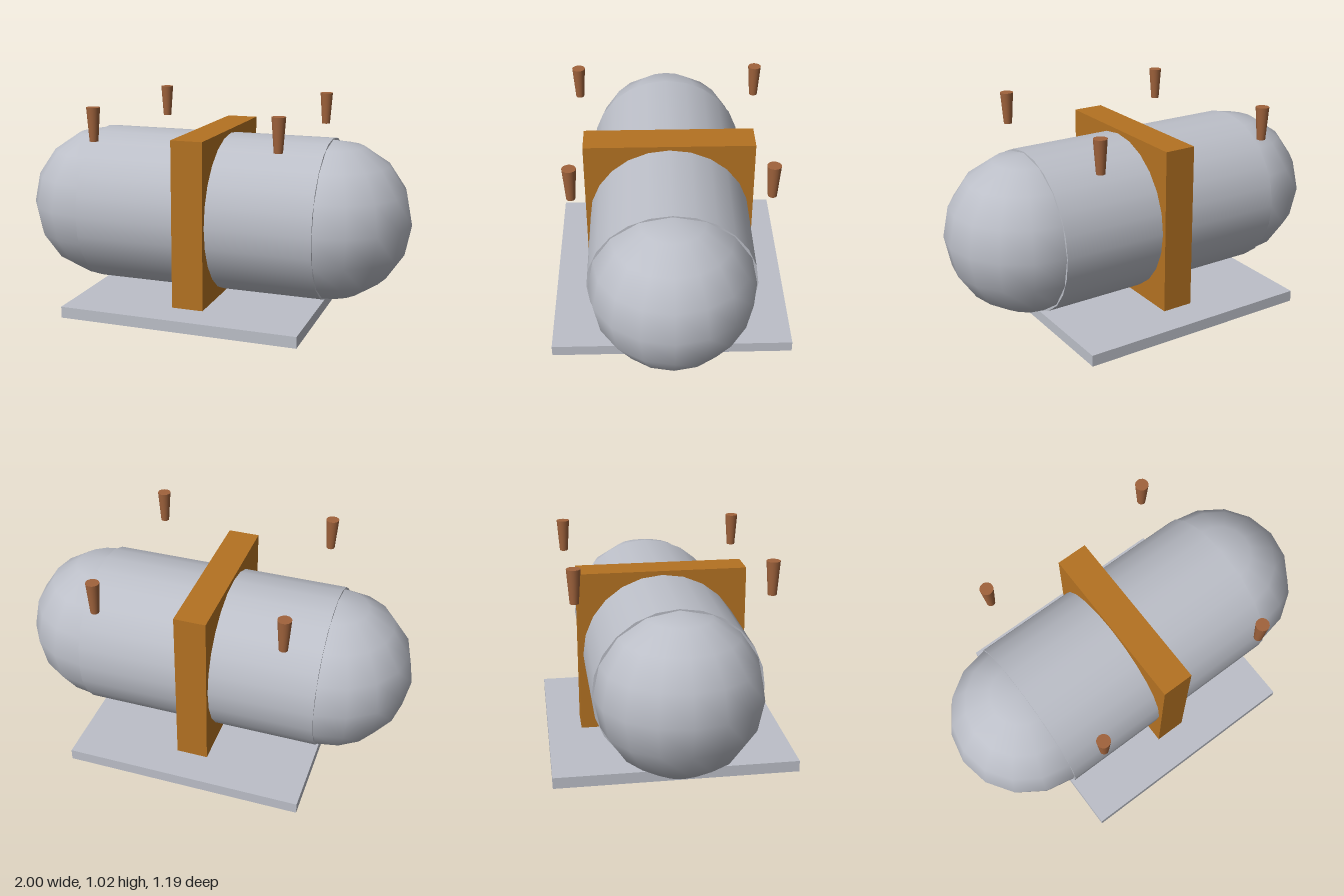
import * as THREE from 'three';

export function createModel() {
  const model = new THREE.Group();
  model.name = 'strappedTank';

  const steel = new THREE.MeshStandardMaterial({ color: 0xbcbfc8 });
  steel.name = 'pale steel';
  const ochre = new THREE.MeshStandardMaterial({ color: 0xb47222 });
  ochre.name = 'ochre strap';
  const copper = new THREE.MeshStandardMaterial({ color: 0xa0633c });
  copper.name = 'copper brown';

  function add(name, geometry, material, x, y, z) {
    const mesh = new THREE.Mesh(geometry, material);
    mesh.name = name;
    mesh.position.set(x, y, z);
    model.add(mesh);
    return mesh;
  }

  const axisY = 0.46;

  // Base plate
  add('basePlate', new THREE.BoxGeometry(1.187, 0.056, 1.187), steel, 0, 0.028, 0);

  // Tank barrel lying along x
  const barrel = add('tankBarrel', new THREE.CylinderGeometry(0.402, 0.402, 1.204, 24), steel, 0, axisY, 0);
  barrel.rotation.z = Math.PI / 2;

  // Rounded tank ends, slightly narrower than the barrel
  const dome = new THREE.SphereGeometry(0.396, 16, 8);
  for (const side of [1, -1]) {
    add(side > 0 ? 'leftDome' : 'rightDome', dome, steel, side * 0.604, axisY, 0);
  }

  // Square strap block around the middle
  add('strapBlock', new THREE.BoxGeometry(0.158, 0.826, 0.844), ochre, 0, 0.469, 0);

  // Four tapered pegs hovering above the plate corners
  const peg = new THREE.CylinderGeometry(0.033, 0.021, 0.163, 16);
  for (const x of [1, -1]) {
    for (const z of [1, -1]) {
      const name = (z > 0 ? 'front' : 'back') + (x > 0 ? 'Left' : 'Right') + 'Peg';
      add(name, peg, copper, x * 0.457, 0.943, z * 0.458);
    }
  }

  return model;
}
